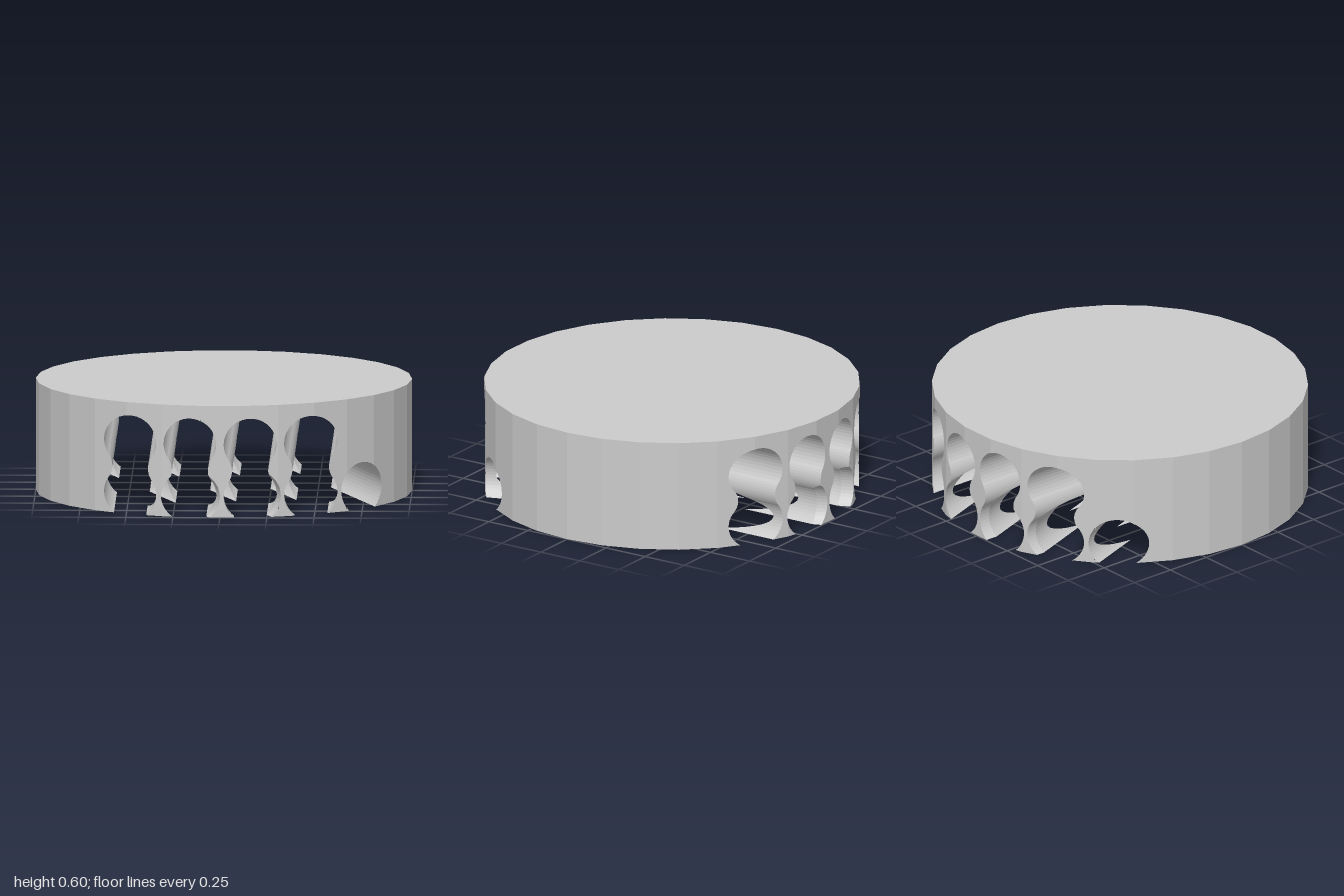
import * as THREE from 'three';

const SIDES = 30, STEP = 2 * Math.PI / SIDES, INNER = Math.cos(STEP / 2); // disc polygon, radius 1
const HEIGHT = 0.6, R = 0.14, TILT = THREE.MathUtils.degToRad(20);
const OFFSETS = [0.48, 0.16, -0.16, -0.48];

// Half widths of the two slot families at a height
const round = (y, c) => Math.sqrt(Math.max(0, R * R - (y - c) ** 2));
const straight = {
  angle: 0, top: 0.53,
  width: y => y < 0.18 ? round(y, 0.11)
    : y < 0.32 ? 0.206 - Math.sqrt(0.0121 - (y - 0.25) ** 2) // rib pinching the waist
      : round(y, 0.39),
};
const diagonal = { angle: TILT, top: 0.25, width: y => y < 0.25 - 1e-7 ? round(y, 0.11) : 0 };

// Heights at which everything is sampled
const levels = [];
function arc(centre, from, to, n) {
  for (let i = 0; i < n; i++) {
    levels.push(centre + R * Math.sin(THREE.MathUtils.lerp(from, to, i / n)));
  }
}
levels.push(0);
arc(0.11, Math.asin(-0.11 / R) + 0.12, Math.PI / 6, 10);
arc(0.11, Math.PI / 6, Math.PI / 2, 9);
for (let i = 0; i < 5; i++) levels.push(0.25 + 0.014 * i);
arc(0.39, -Math.PI / 6, Math.PI / 2, 15);
levels.push(0.53);

// Collects flat quads, dropping collapsed triangles
class Faces {
  constructor() { this.data = []; }
  tri(...pts) {
    const [a, b, c] = pts.map(p => new THREE.Vector3(...p));
    if (b.clone().sub(a).cross(c.clone().sub(a)).length() > 1e-10) pts.forEach(p => this.data.push(...p));
  }
  quad(a, b, c, d) { this.tri(a, b, c); this.tri(a, c, d); }
  mesh(name, material) {
    const g = new THREE.BufferGeometry();
    g.setAttribute('position', new THREE.Float32BufferAttribute(this.data, 3));
    g.computeVertexNormals();
    const m = new THREE.Mesh(g, material);
    m.name = name;
    return m;
  }
}

// Range of z inside the disc on the line x, in a frame turned by angle
function discRange(x, angle) {
  let lo = -2, hi = 2;
  for (let i = 0; i < SIDES; i++) {
    const g = (i + 0.5) * STEP + angle, nz = Math.sin(g);
    if (Math.abs(nz) < 1e-6) continue;
    const z = (INNER - x * Math.cos(g)) / nz;
    if (nz > 0) hi = Math.min(hi, z); else lo = Math.max(lo, z);
  }
  return lo > hi ? [0, 0] : [lo, hi];
}

// Runs of z left at (x, y) once the other slot family is cut away
function keptRuns(x, y, own, other) {
  const turn = other.angle - own.angle, s = Math.sin(turn);
  const half = other.width(y) / Math.abs(s);
  const [lo, hi] = discRange(x, own.angle);
  const centres = OFFSETS.map(o => (x * Math.cos(turn) - o) / s).sort((a, b) => a - b);
  const marks = [lo, ...centres.flatMap(c => [c - half, c + half]), hi]
    .map(z => THREE.MathUtils.clamp(z, lo, hi));
  return [0, 1, 2, 3, 4].map(k => [marks[2 * k], marks[2 * k + 1]]);
}

// Sweeps a profile of [x, y] points along z, leaving the crossing openings
function sweep(faces, profile, own, other) {
  const runs = profile.map(([x, y]) => keptRuns(x, y, own, other));
  for (let i = 0; i + 1 < profile.length; i++) {
    const p = profile[i], q = profile[i + 1];
    runs[i].forEach(([z0, z1], k) => {
      const [w0, w1] = runs[i + 1][k];
      faces.quad([...p, z0], [...p, z1], [...q, w1], [...q, w0]);
    });
  }
}

function slotWalls(name, own, other, material) {
  const faces = new Faces();
  const ys = levels.filter(y => y <= own.top + 1e-6);
  for (const o of OFFSETS) {
    const right = ys.map(y => [o + own.width(y), y]);
    const left = ys.map(y => [o - own.width(y), y]).reverse();
    sweep(faces, [...right, ...left], own, other);
  }
  const m = faces.mesh(name, material);
  m.rotation.y = own.angle;
  return m;
}

// Underside islands left between the slots
function underside(material) {
  const faces = new Faces(), w = straight.width(0);
  const edges = [1, ...OFFSETS.flatMap(o => [o + w, o - w]), -1];
  for (let k = 0; k < edges.length; k += 2) {
    const from = edges[k], to = edges[k + 1], xs = [];
    for (let i = 0; i <= 40; i++) xs.push(THREE.MathUtils.lerp(from, to, i / 40));
    for (let i = 0; i <= SIDES / 2; i++) {
      const x = Math.cos(i * STEP);
      if (x < from && x > to) xs.push(x);
    }
    xs.sort((a, b) => b - a);
    sweep(faces, xs.map(x => [x, 0]), straight, diagonal);
  }
  return faces.mesh('underside', material);
}

// Angles around the rim covered by each slot mouth at height y
function mouths(y) {
  const front = [];
  for (let j = 0; j <= 4; j++) {
    const members = [];
    if (j > 0) members.push([straight, OFFSETS[j - 1]]);
    if (j < 4) members.push([diagonal, OFFSETS[j]]);
    const open = members.filter(([f]) => f.width(y) > 1e-6);
    const angles = (open.length ? open : members.slice(0, 1)).flatMap(([f, o]) =>
      [1, -1].map(s => {
        const x = o + s * f.width(y);
        return Math.atan2(discRange(x, f.angle)[1], x) - f.angle;
      }));
    front.push([Math.min(...angles), Math.max(...angles)]);
  }
  return [...front, ...front.map(([a, b]) => [a + Math.PI, b + Math.PI])];
}

function rimPoint(t, y) {
  const local = t - (Math.floor(t / STEP + 1e-9) + 0.5) * STEP;
  const r = INNER / Math.cos(local);
  return [r * Math.cos(t), y, r * Math.sin(t)];
}

// Faceted outer wall with the slot mouths left open
function rim(material) {
  const faces = new Faces(), ys = [...levels, HEIGHT];
  const rows = ys.map(y => {
    const m = mouths(y);
    return m.map((e, j) => [e[1], j < 9 ? m[j + 1][0] : m[0][0] + 2 * Math.PI]);
  });
  for (let i = 0; i + 1 < ys.length; i++) {
    rows[i].forEach(([a0, a1], j) => {
      const [b0, b1] = rows[i + 1][j];
      for (let f = 0; f < SIDES * 1.5; f++) {
        const c = t => THREE.MathUtils.clamp(t, f * STEP, (f + 1) * STEP);
        if (c(a0) === c(a1) && c(b0) === c(b1)) continue;
        faces.quad(rimPoint(c(a0), ys[i]), rimPoint(c(b0), ys[i + 1]),
          rimPoint(c(b1), ys[i + 1]), rimPoint(c(a1), ys[i]));
      }
    });
  }
  return faces.mesh('outerWall', material);
}

export function createModel() {
  const group = new THREE.Group();
  group.name = 'slottedDisc';
  const material = new THREE.MeshStandardMaterial({ color: 0xcccccc, flatShading: true });

  // Plain top
  const top = new THREE.Mesh(new THREE.CircleGeometry(1, SIDES).rotateX(-Math.PI / 2), material);
  top.position.y = HEIGHT;
  top.name = 'topFace';

  group.add(top, rim(material), underside(material),
    slotWalls('straightSlots', straight, diagonal, material),
    slotWalls('diagonalSlots', diagonal, straight, material));
  return group;
}
